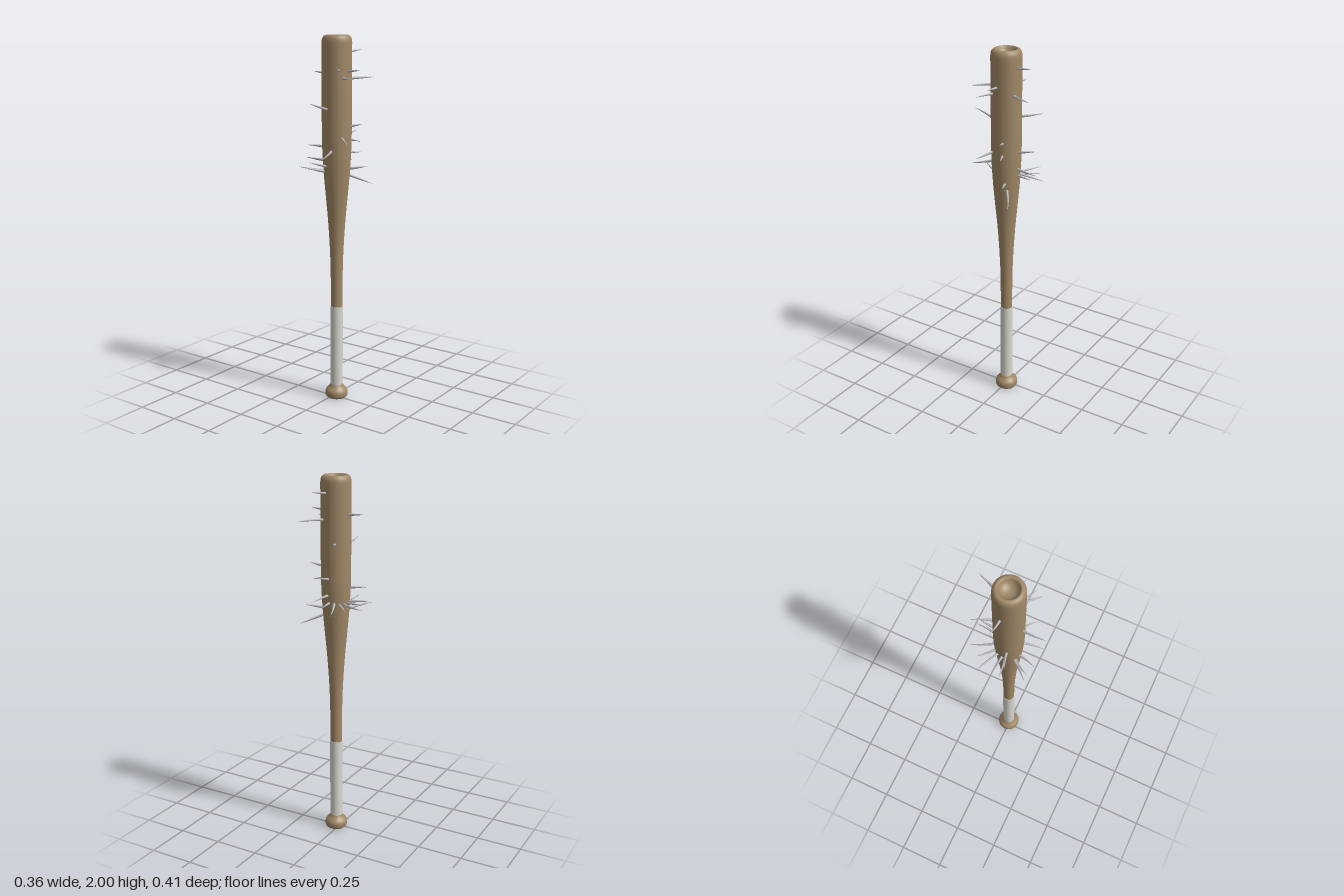
import * as THREE from 'three';

const AXIS_X = 0.019, AXIS_Z = -0.007;

// Spike tips: x, height, z, and how far the tip rises above its root
const SPIKES = [
  [-0.183, 1.33, -0.1, 0], [-0.105, 1.32, -0.136, -0.01], [-0.067, 1.67, -0.177, 0.02],
  [-0.053, 1.305, -0.195, -0.035], [0.017, 1.33, -0.157, -0.01], [0.028, 1.495, -0.189, 0.03],
  [0.042, 1.37, -0.205, -0.01], [0.063, 1.925, -0.179, 0.015], [0.122, 1.78, -0.202, 0.005],
  [0.181, 1.215, -0.118, -0.05], [0.167, 1.315, -0.08, 0.015], [0.149, 1.54, -0.05, 0.015],
  [0.14, 1.45, -0.048, -0.01], [0.174, 1.82, 0.011, 0.005], [0.174, 1.775, 0.073, -0.005],
  [0.158, 1.44, 0.093, -0.03], [0.135, 1.82, 0.123, 0], [0.06, 1.37, 0.179, -0.03],
  [-0.003, 1.655, 0.202, 0.04], [-0.04, 1.345, 0.161, 0.03], [-0.085, 1.31, 0.141, 0.025],
  [-0.124, 1.315, 0.145, 0.025], [-0.138, 1.42, 0.041, 0.005], [-0.167, 1.35, 0.023, 0.01],
  [-0.135, 1.335, -0.014, 0], [-0.151, 1.81, -0.03, 0.01],
];

function lathe(name, points, material, segments = 48) {
  const mesh = new THREE.Mesh(
    new THREE.LatheGeometry(points.map(([r, y]) => new THREE.Vector2(r, y)), segments), material);
  mesh.name = name;
  mesh.position.set(AXIS_X, 0, AXIS_Z);
  return mesh;
}

// Slender thorn: a tapered cylinder whose rings follow a gentle curve
function spikeGeometry(root, tip, bend) {
  const rows = 6, length = root.distanceTo(tip);
  const geo = new THREE.CylinderGeometry(1, 1, 1, 8, rows, true);
  const dir = tip.clone().sub(root).normalize();
  const side = new THREE.Vector3(0, 1, 0).cross(dir).normalize();
  const up = dir.clone().cross(side);
  const control = root.clone().lerp(tip, 0.5).addScaledVector(side, bend * length);
  const curve = new THREE.QuadraticBezierCurve3(root, control, tip);
  const pos = geo.attributes.position;
  for (let i = 0; i < pos.count; i++) {
    const t = pos.getY(i) + 0.5;
    const r = 0.0075 * Math.pow(1 - t, 0.75) + 0.0003;
    const p = curve.getPoint(t)
      .addScaledVector(side, pos.getX(i) * r)
      .addScaledVector(up, -pos.getZ(i) * r);
    pos.setXYZ(i, p.x, p.y, p.z);
  }
  geo.computeVertexNormals();
  return geo;
}

export function createModel() {
  const model = new THREE.Group();
  const wood = new THREE.MeshStandardMaterial({ color: 0xa08866, side: THREE.DoubleSide });
  const wrap = new THREE.MeshStandardMaterial({ color: 0xd8d8d0, side: THREE.DoubleSide });
  const metal = new THREE.MeshStandardMaterial({ color: 0xb4b4b8, side: THREE.DoubleSide });

  // Handle and barrel: smooth swelling profile
  const body = new THREE.SplineCurve([
    [0.032, 0.06], [0.032, 0.35], [0.032, 0.6], [0.035, 0.8], [0.046, 1.0],
    [0.061, 1.17], [0.072, 1.3], [0.079, 1.45], [0.08, 1.65], [0.08, 1.8], [0.08, 1.96],
  ].map(([r, y]) => new THREE.Vector2(r, y))).getPoints(48).map(p => [p.x, p.y]);
  // Rounded shoulder, rim and hollowed cup in the end
  const end = [
    [0.079, 1.975], [0.075, 1.988], [0.068, 1.996], [0.06, 2.0], [0.054, 1.998],
    [0.05, 1.99], [0.046, 1.979], [0.038, 1.968], [0.026, 1.96], [0.013, 1.956], [0, 1.955],
  ];
  model.add(lathe('barrel', [...body, ...end], wood));

  // Knob: flat underside, rounded rim, cone up to the grip
  model.add(lathe('knob', [
    [0, 0.004], [0.045, 0.004], [0.045, 0.002], [0.052, 0], [0.058, 0.005], [0.062, 0.014],
    [0.0625, 0.03], [0.06, 0.041], [0.054, 0.05], [0.044, 0.059], [0.037, 0.068], [0.033, 0.08],
  ], wood));

  // Grip wrap with closed ends
  model.add(lathe('gripWrap', [[0.031, 0.07], [0.0345, 0.07]], wrap));
  model.add(lathe('gripWrapSide', [[0.0345, 0.07], [0.0345, 0.53]], wrap));
  model.add(lathe('gripWrapTop', [[0.0345, 0.53], [0.031, 0.53]], wrap));

  // Spikes radiating from the barrel
  const spikes = new THREE.Group();
  spikes.name = 'spikes';
  SPIKES.forEach(([x, y, z, rise], i) => {
    const out = new THREE.Vector3(x - AXIS_X, 0, z - AXIS_Z).normalize();
    const root = new THREE.Vector3(AXIS_X, y - rise, AXIS_Z).addScaledVector(out, 0.066);
    const bend = i % 2 ? 0.06 : -0.06;
    const spike = new THREE.Mesh(spikeGeometry(root, new THREE.Vector3(x, y, z), bend), metal);
    spike.name = 'spike' + (i + 1);
    spikes.add(spike);
  });
  model.add(spikes);
  return model;
}
